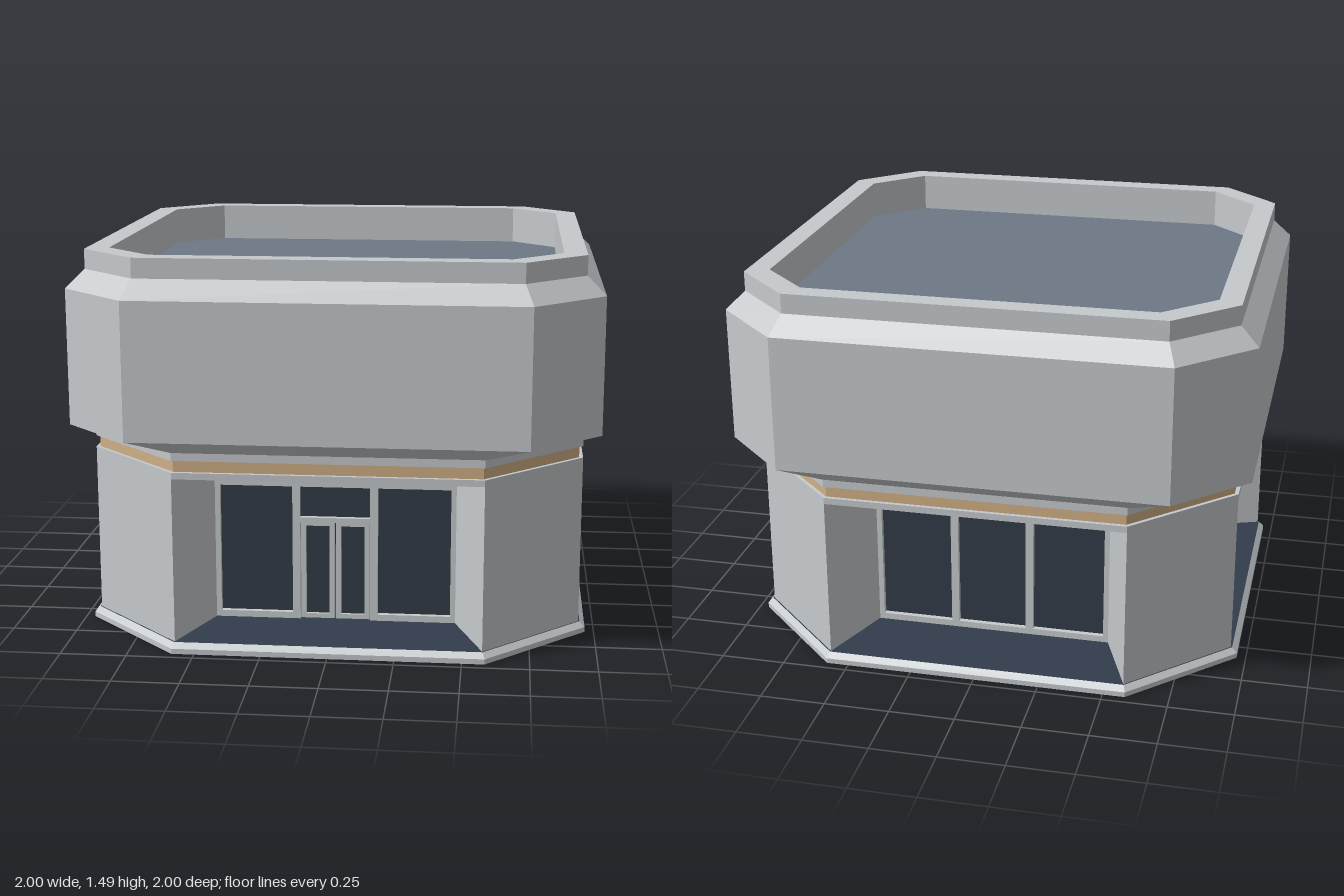
import * as THREE from 'three';

const mat = (name, color, extra = {}) => {
  const m = new THREE.MeshStandardMaterial({ color, ...extra });
  m.name = name;
  return m;
};

// Corners of a chamfered square: h = half width, c = where the chamfer starts
const ring = (h, c, y) =>
  [[c, h], [h, c], [h, -c], [c, -h], [-c, -h], [-h, -c], [-h, c], [-c, h]].map(([x, z]) => [x, y, z]);

function fromTriangles(points) {
  const g = new THREE.BufferGeometry();
  g.setAttribute('position', new THREE.Float32BufferAttribute(points.flat(), 3));
  g.computeVertexNormals();
  return g;
}

// Skin through a list of [half, chamfer, y] rings
function loft(profile) {
  const rings = profile.map((p) => ring(...p));
  const t = [];
  for (let r = 0; r < rings.length - 1; r++) {
    for (let i = 0; i < 8; i++) {
      const j = (i + 1) % 8, lo = rings[r], hi = rings[r + 1];
      t.push(lo[i], lo[j], hi[j], lo[i], hi[j], hi[i]);
    }
  }
  return fromTriangles(t);
}

// Flat chamfered plate facing up or down
function cap(h, c, y, up) {
  const p = ring(h, c, y), t = [];
  for (let i = 1; i < 7; i++) t.push(p[0], ...(up ? [p[i], p[i + 1]] : [p[i + 1], p[i]]));
  return fromTriangles(t);
}

export function createModel() {
  const concrete = mat('concrete', 0xc6cacd);
  const navy = mat('dark panel', 0x313c4c);
  const glass = mat('glass', 0x323b47);
  const gold = mat('tan trim', 0xd0b086);
  const roof = mat('roof deck', 0x6d7986);
  const frame = mat('window frame', 0xc8cccd);

  const model = new THREE.Group();
  const add = (parent, name, geometry, material) => {
    const m = new THREE.Mesh(geometry, material);
    m.name = name;
    parent.add(m);
    return m;
  };
  // Box given by its x, y and z limits
  const block = (parent, name, material, x0, x1, y0, y1, z0, z1) =>
    add(parent, name, new THREE.BoxGeometry(x1 - x0, y1 - y0, z1 - z0), material)
      .position.set((x0 + x1) / 2, (y0 + y1) / 2, (z0 + z1) / 2);

  // Base slab
  add(model, 'baseEdge', loft([[0.965, 0.585, 0], [0.965, 0.585, 0.02], [0.945, 0.577, 0.04]]), concrete);
  add(model, 'baseUnderside', cap(0.965, 0.585, 0, false), navy);
  add(model, 'floor', cap(0.945, 0.577, 0.04, true), navy);

  // Lintel, tan band and ledge above the recesses
  add(model, 'soffit', cap(0.94, 0.575, 0.67, false), navy);
  add(model, 'lintel', loft([[0.94, 0.575, 0.67], [0.94, 0.575, 0.695], [0.925, 0.57, 0.695]]), concrete);
  add(model, 'tanBand', loft([[0.925, 0.57, 0.695], [0.925, 0.57, 0.74]]), gold);

  // Overhanging upper mass with parapet
  add(model, 'upperMass', loft([
    [0.925, 0.57, 0.74], [0.94, 0.575, 0.74], [0.94, 0.575, 0.77], [1, 0.735, 0.82], [1, 0.735, 1.34],
    [0.93, 0.705, 1.41], [0.93, 0.705, 1.485], [0.845, 0.66, 1.485], [0.845, 0.66, 1.335],
  ]), concrete);
  add(model, 'roofDeck', cap(0.845, 0.66, 1.335, true), roof);

  // Interior core behind the glazing
  block(model, 'core', navy, -0.61, 0.61, 0.04, 0.67, -0.61, 0.61);

  // Corner pier with splayed sides
  const pierShape = new THREE.Shape(
    [[0.575, 0.94], [0.465, 0.645], [0.465, 0.465], [0.645, 0.465], [0.94, 0.575]]
      .map(([x, y]) => new THREE.Vector2(x, y)));
  const pierGeometry = new THREE.ExtrudeGeometry(pierShape, { depth: 0.63, bevelEnabled: false });
  pierGeometry.rotateX(-Math.PI / 2).translate(0, 0.04, 0);

  const Z = 0.645; // front plane of the frames
  const pane = (g, name, x0, x1, y0, y1, z = Z - 0.02) => block(g, name, glass, x0, x1, y0, y1, z - 0.008, z);
  const bar = (g, name, x0, x1, y0, y1, z = Z) => block(g, name, frame, x0, x1, y0, y1, 0.605, z);

  for (let k = 0; k < 4; k++) {
    const side = new THREE.Group();
    side.name = k === 0 ? 'entranceSide' : 'windowSide';
    side.rotation.y = k * Math.PI / 2;
    model.add(side);

    add(side, 'cornerPier', pierGeometry, concrete);
    block(side, 'headPanel', navy, -0.465, 0.465, 0.6, 0.67, 0.605, Z);

    // Outer frame and mullions
    bar(side, 'frameHead', -0.465, 0.465, 0.572, 0.6);
    for (const s of [-1, 1]) {
      bar(side, 'frameJamb', s * 0.455 - 0.01, s * 0.455 + 0.01, 0.04, 0.572);
      bar(side, 'mullion', s * 0.15 - 0.015, s * 0.15 + 0.015, 0.04, 0.572);
      bar(side, 'frameSill', s * 0.305 - 0.14, s * 0.305 + 0.14, 0.04, 0.065);
      pane(side, 'sidePane', s * 0.305 - 0.14, s * 0.305 + 0.14, 0.065, 0.572);
    }

    if (k > 0) {
      bar(side, 'frameSill', -0.135, 0.135, 0.04, 0.065);
      pane(side, 'middlePane', -0.135, 0.135, 0.065, 0.572);
      continue;
    }

    // Double door with a light above
    bar(side, 'doorHead', -0.135, 0.135, 0.43, 0.45);
    pane(side, 'doorLight', -0.135, 0.135, 0.45, 0.572);
    for (const s of [-1, 1]) {
      const door = new THREE.Group();
      door.name = 'door';
      door.position.x = s * 0.068;
      side.add(door);
      const dz = Z - 0.008;
      for (const e of [-1, 1]) bar(door, 'doorStile', e * 0.055 - 0.01, e * 0.055 + 0.01, 0.042, 0.428, dz);
      bar(door, 'doorTopRail', -0.045, 0.045, 0.415, 0.428, dz);
      bar(door, 'doorBottomRail', -0.045, 0.045, 0.042, 0.06, dz);
      pane(door, 'doorGlass', -0.045, 0.045, 0.06, 0.415);
    }
  }
  return model;
}
